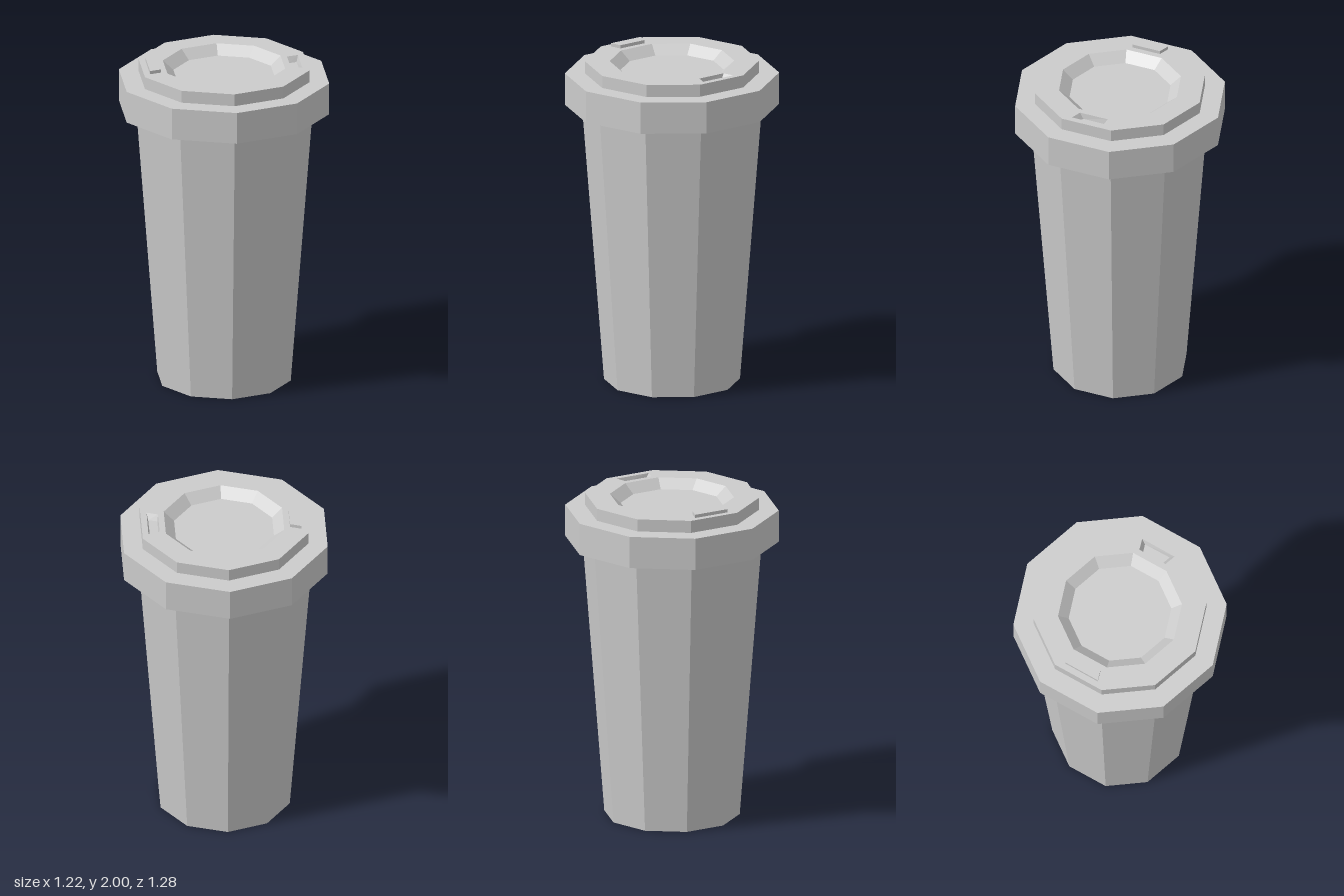
import * as THREE from 'three';

const SIDES = 10;
const LID_TOP = 1.98;

export function createModel() {
  const group = new THREE.Group();
  group.name = 'takeawayCup';
  const material = new THREE.MeshStandardMaterial({ color: 0xcccccc, flatShading: true });

  const add = (name, geometry) => {
    const mesh = new THREE.Mesh(geometry, material);
    mesh.name = name;
    group.add(mesh);
  };

  // Ten-sided turned part; profile is [radius, height] pairs
  const turned = (profile) =>
    new THREE.LatheGeometry(profile.map(([r, y]) => new THREE.Vector2(r, y)), SIDES);

  // Four-cornered walls from one [x, z] loop to another, closed by a flat cap facing up
  const cappedLoop = (from, yFrom, to, yTo) => {
    const positions = [];
    const index = [];
    from.forEach(([x, z]) => positions.push(x, yFrom, z));
    to.forEach(([x, z]) => positions.push(x, yTo, z));
    for (let i = 0; i < 4; i++) {
      const j = (i + 1) % 4;
      index.push(i, j, 4 + j, i, 4 + j, 4 + i);
    }
    index.push(4, 5, 6, 4, 6, 7);
    const geometry = new THREE.BufferGeometry();
    geometry.setAttribute('position', new THREE.Float32BufferAttribute(positions, 3));
    geometry.setIndex(index);
    const flat = geometry.toNonIndexed();
    flat.computeVertexNormals();
    return flat;
  };

  // Tapered cup with a shallow recessed base
  add('cupBody', turned([[0, 0.03], [0.37, 0.03], [0.375, 0], [0.406, 0], [0.538, 1.71]]));

  // Lid skirt and raised rim
  add('lidSkirt', turned([[0.53, 1.71], [0.64, 1.71], [0.64, 1.905], [0.52, 1.905], [0.52, LID_TOP]]));

  // Sunken centre of the lid
  add('lidWell', turned([[0.372, LID_TOP], [0.308, 1.925], [0, 1.925]]));

  // Sip opening at the front left, narrowing downwards
  const slot = [[0.264, 0.3], [0.305, 0.358], [0.437, 0.178], [0.37, 0.154]];
  const slotFloor = [[0.281, 0.284], [0.315, 0.33], [0.413, 0.192], [0.363, 0.175]];
  add('sipOpening', cappedLoop(slot, LID_TOP, slotFloor, 1.945));

  // Raised tab opposite the sip opening
  const tab = slot.map(([x, z]) => [-x, -z]);
  add('lidTab', cappedLoop(tab, LID_TOP, tab, 2));

  // Flat top of the rim, cut out for the well and the sip opening
  const decagon = (r) => Array.from({ length: SIDES }, (_, i) => {
    const a = (i / SIDES) * Math.PI * 2;
    return new THREE.Vector2(r * Math.sin(a), r * Math.cos(a));
  });
  const rim = new THREE.Shape(decagon(0.52));
  rim.holes.push(
    new THREE.Path(decagon(0.372)),
    new THREE.Path(slot.map(([x, z]) => new THREE.Vector2(x, -z))),
  );
  const rimTop = new THREE.ShapeGeometry(rim);
  rimTop.rotateX(-Math.PI / 2).translate(0, LID_TOP, 0);
  add('lidRimTop', rimTop);

  return group;
}
